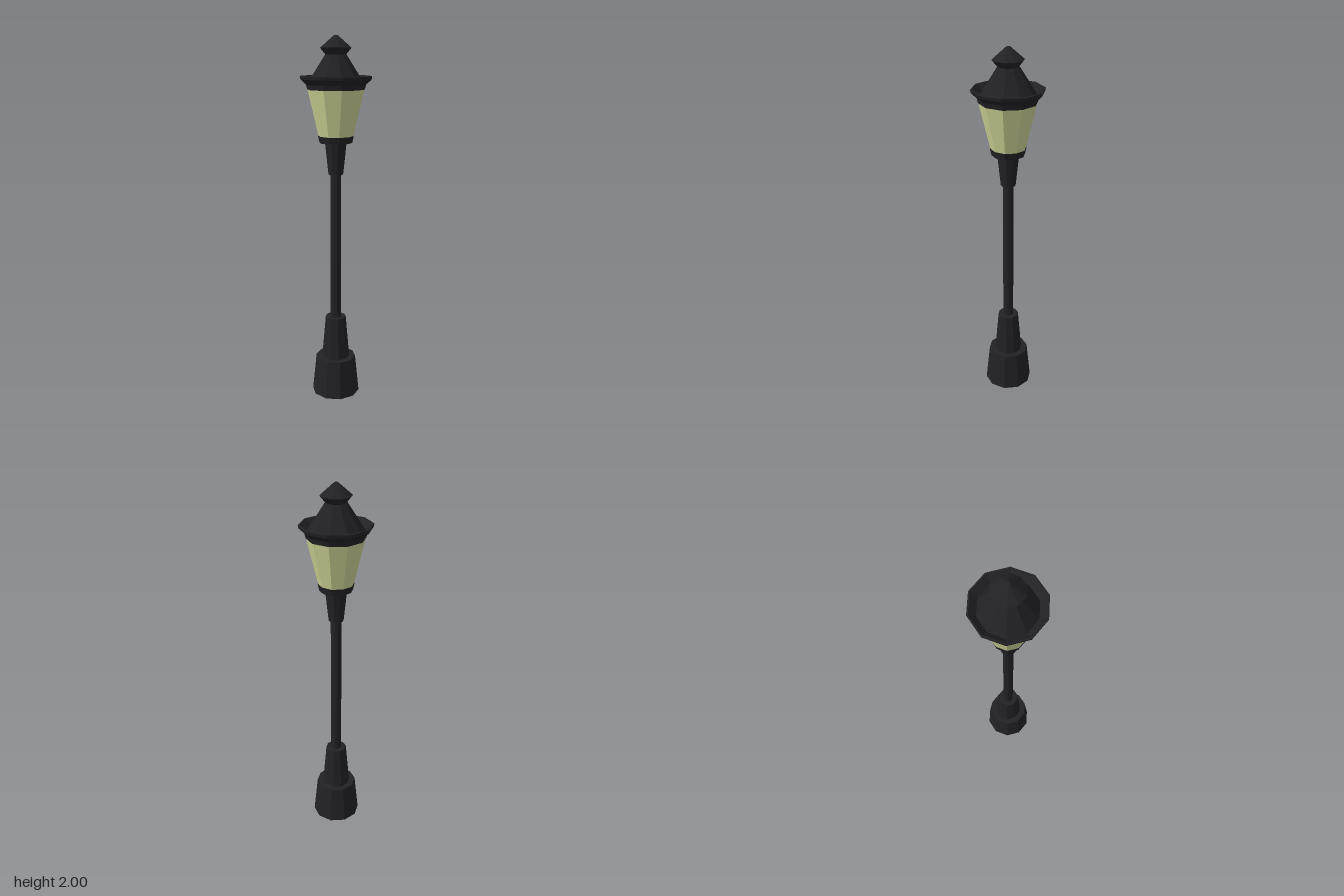
import * as THREE from 'three';

const SIDES = 10;

const iron = new THREE.MeshStandardMaterial({ color: 0x222226, flatShading: true });
const glass = new THREE.MeshStandardMaterial({ color: 0xd0d696, flatShading: true });

// Ten-sided turned part; profile is [radius, height] from bottom to top
function turned(name, profile, material = iron) {
  const points = profile.map(([r, y]) => new THREE.Vector2(r, y));
  const mesh = new THREE.Mesh(new THREE.LatheGeometry(points, SIDES), material);
  mesh.name = name;
  return mesh;
}

export function createModel() {
  const lamp = new THREE.Group();
  lamp.name = 'streetLamp';

  lamp.add(
    // Stepped foot and post
    turned('base', [[0, 0], [0.134, 0], [0.112, 0.215], [0, 0.215]]),
    turned('plinth', [[0.078, 0.215], [0.057, 0.457], [0, 0.457]]),
    turned('pole', [[0.029, 0.457], [0.029, 1.275]]),

    // Lantern holder
    turned('collar', [[0, 1.275], [0.04, 1.275], [0.058, 1.447]]),
    turned('lowerRing', [[0, 1.447], [0.088, 1.447], [0.096, 1.483], [0, 1.483]]),

    // Tapered lantern panes
    turned('glassPanes', [[0.093, 1.483], [0.15, 1.725]], glass),

    // Flared brim with a gutter sloping in to the roof
    turned('brim', [
      [0, 1.725], [0.152, 1.725], [0.158, 1.75], [0.187, 1.777],
      [0.19, 1.793], [0.182, 1.795], [0.147, 1.76],
    ]),
    turned('roof', [[0.147, 1.76], [0.055, 1.903]]),

    // Pointed cap
    turned('finial', [[0.055, 1.903], [0.082, 1.936], [0.01, 1.998], [0, 2]]),
  );

  return lamp;
}
